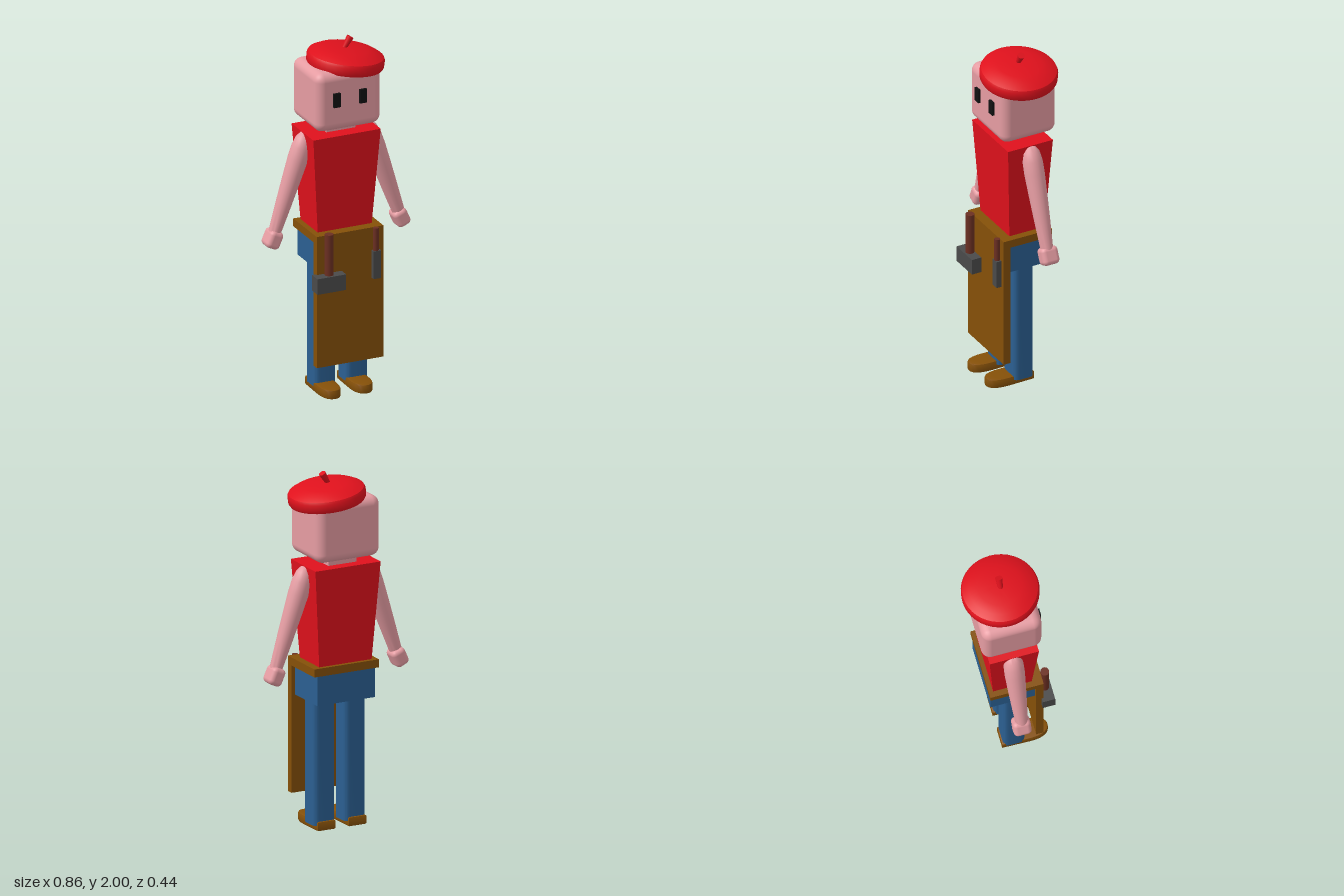
import * as THREE from 'three';
import { RoundedBoxGeometry } from 'three/addons/geometries/RoundedBoxGeometry.js';
import { toCreasedNormals } from 'three/addons/utils/BufferGeometryUtils.js';

const mat = (color, extra = {}) => new THREE.MeshStandardMaterial({ color, ...extra });

export function createModel() {
  const model = new THREE.Group();
  const skin = mat(0xe59ca2), red = mat(0xdf111c), denim = mat(0x2b5f91);
  const leather = mat(0x855008), steel = mat(0x4a4a4a), wood = mat(0x6b2f22), black = mat(0x111111);

  const add = (name, geometry, material, x = 0, y = 0, z = 0) => {
    const mesh = new THREE.Mesh(geometry, material);
    mesh.name = name;
    mesh.position.set(x, y, z);
    model.add(mesh);
    return mesh;
  };
  // Box given by its limits
  const box = (name, material, x0, x1, y0, y1, z0, z1) =>
    add(name, new THREE.BoxGeometry(x1 - x0, y1 - y0, z1 - z0), material,
      (x0 + x1) / 2, (y0 + y1) / 2, (z0 + z1) / 2);

  // Head, eyes and neck
  add('head', new RoundedBoxGeometry(0.388, 0.34, 0.335, 4, 0.05), skin, 0, 1.7, -0.006);
  box('rightEye', black, -0.1, -0.06, 1.675, 1.755, 0.14, 0.175);
  box('leftEye', black, 0.055, 0.095, 1.675, 1.755, 0.14, 0.175);
  box('neck', skin, -0.09, 0.083, 1.45, 1.56, -0.08, 0.055);

  // Beret: flat underside, short wall, shallow dome
  const beretProfile = [[0, 0.012], [0.17, 0.004], [0.204, 0], [0.211, 0.012], [0.212, 0.05], [0.205, 0.064],
    [0.17, 0.083], [0.12, 0.096], [0.06, 0.102], [0, 0.104]].map(([r, y]) => new THREE.Vector2(r, y));
  const beret = add('beret', toCreasedNormals(new THREE.LatheGeometry(beretProfile, 40), 0.6),
    red, 0.05, 1.835, -0.01);
  beret.rotation.z = -0.13;
  const stem = add('beretStem', new THREE.CylinderGeometry(0.02, 0.012, 0.08, 12), red, 0.062, 1.958, -0.01);
  stem.rotation.z = -0.55;

  // Shirt: box narrowed towards the waist
  const shirtGeo = new THREE.BoxGeometry(0.4, 0.56, 0.275);
  const p = shirtGeo.attributes.position;
  for (let i = 0; i < p.count; i++) {
    if (p.getY(i) < 0) p.setXYZ(i, p.getX(i) * 0.8, p.getY(i), p.getZ(i) * 0.78);
  }
  shirtGeo.computeVertexNormals();
  add('shirt', shirtGeo, red, -0.004, 1.21, -0.004);

  // Hips, apron with waistband
  box('hips', denim, -0.175, 0.178, 0.73, 0.91, -0.13, 0.12);
  box('waistband', leather, -0.197, 0.199, 0.895, 0.94, -0.135, 0.14);
  box('apron', leather, -0.197, 0.199, 0.18, 0.94, 0.12, 0.162);

  // Arms and hands
  const armProfile = [[0, -0.56], [0.033, -0.56], [0.036, -0.5], [0.044, -0.36], [0.051, -0.22], [0.056, -0.1],
    [0.055, -0.03], [0.046, 0.02], [0.028, 0.05], [0, 0.06]].map(([r, y]) => new THREE.Vector2(r, y));
  const armGeo = toCreasedNormals(new THREE.LatheGeometry(armProfile, 20), 0.8);
  const handGeo = new RoundedBoxGeometry(0.082, 0.1, 0.1, 3, 0.025);
  for (const [side, s] of [['left', 1], ['right', -1]]) {
    add(side + 'Arm', armGeo, skin, s * 0.198, 1.43, -0.01).rotation.z = s * 0.33;
    add(side + 'Hand', handGeo, skin, s * 0.378, 0.9, -0.014).rotation.z = s * 0.42;
  }

  // Legs: rounded-rectangle columns
  const legShape = new THREE.Shape();
  const w = 0.066, d = 0.061, r = 0.032;
  legShape.moveTo(-w + r, -d).lineTo(w - r, -d).quadraticCurveTo(w, -d, w, -d + r)
    .lineTo(w, d - r).quadraticCurveTo(w, d, w - r, d).lineTo(-w + r, d)
    .quadraticCurveTo(-w, d, -w, d - r).lineTo(-w, -d + r).quadraticCurveTo(-w, -d, -w + r, -d);
  const legGeo = toCreasedNormals(
    new THREE.ExtrudeGeometry(legShape, { depth: 0.72, bevelEnabled: false, curveSegments: 6 })
      .rotateX(Math.PI / 2), 0.6);

  // Shoes: square heel, round toe
  const shoeShape = new THREE.Shape();
  shoeShape.moveTo(-0.046, -0.052).lineTo(0.046, -0.052).lineTo(0.05, 0.1)
    .bezierCurveTo(0.05, 0.17, 0.03, 0.2, 0, 0.2)
    .bezierCurveTo(-0.03, 0.2, -0.05, 0.17, -0.05, 0.1).lineTo(-0.046, -0.052);
  const shoeGeo = toCreasedNormals(
    new THREE.ExtrudeGeometry(shoeShape, {
      depth: 0.036, bevelThickness: 0.008, bevelSize: 0.008, bevelSegments: 2, curveSegments: 8,
    }).rotateX(Math.PI / 2), 0.6);
  for (const [side, legX, shoeX] of [['right', -0.1, -0.108], ['left', 0.088, 0.082]]) {
    add(side + 'Leg', legGeo, denim, legX, 0.75, 0.009);
    add(side + 'Shoe', shoeGeo, leather, shoeX, 0.044, 0);
  }

  // Tools hanging on the apron
  box('hammerHead', steel, -0.22, -0.05, 0.63, 0.72, 0.15, 0.22);
  add('hammerHandle', new THREE.CylinderGeometry(0.024, 0.024, 0.25, 20), wood, -0.135, 0.83, 0.185);
  box('chiselBlade', steel, 0.127, 0.172, 0.65, 0.81, 0.16, 0.19);
  add('chiselHandle', new THREE.CylinderGeometry(0.016, 0.016, 0.15, 16), wood, 0.148, 0.865, 0.174);

  return model;
}
